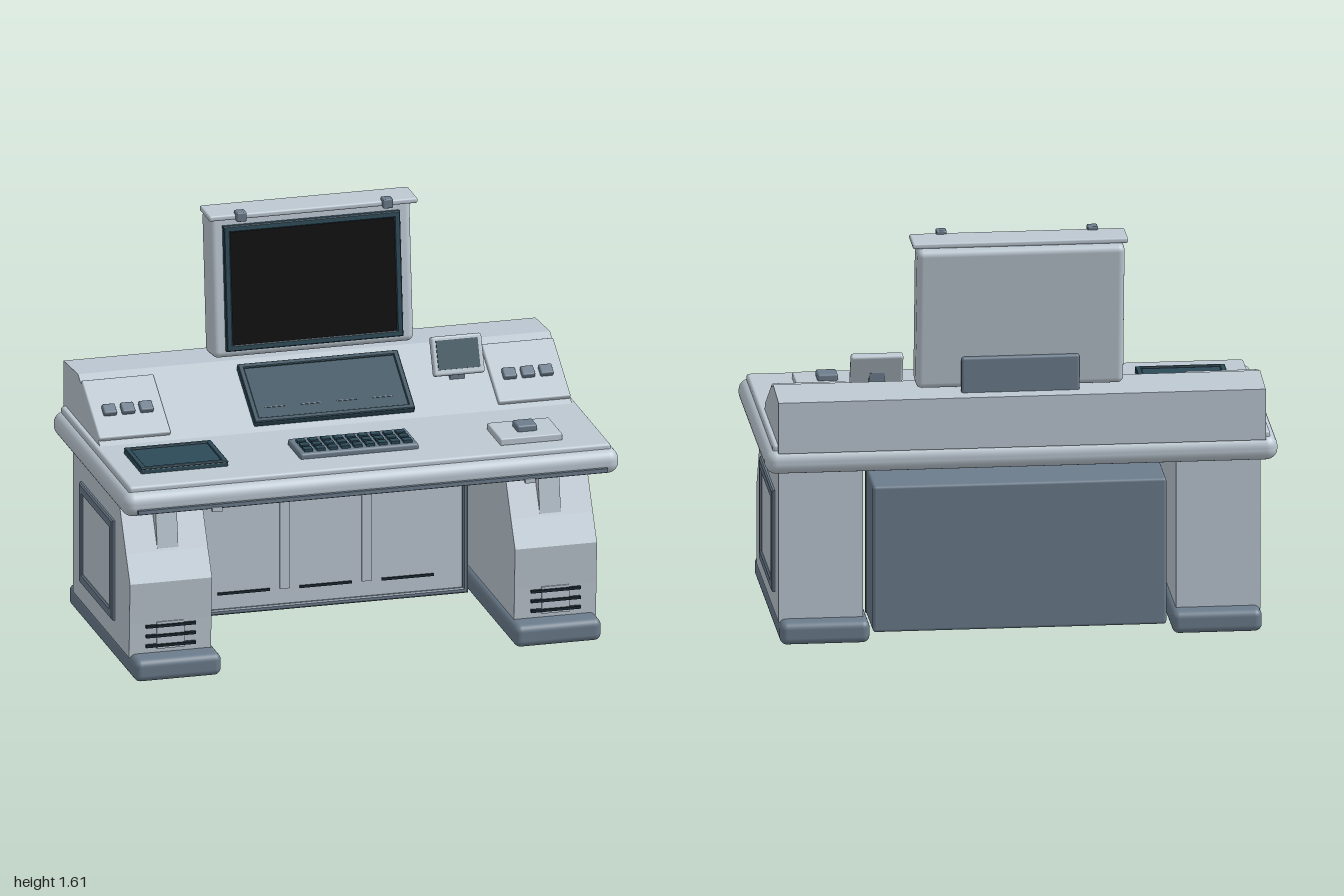
import * as THREE from 'three';
import { RoundedBoxGeometry } from 'three/addons/geometries/RoundedBoxGeometry.js';

const mat = (name, color, side = THREE.FrontSide) => {
  const m = new THREE.MeshStandardMaterial({ color, side });
  m.name = name;
  return m;
};

export function createModel() {
  const shell = mat('paleShell', 0xbcc8d2);
  const steel = mat('slateGrey', 0x6b7c8c);
  const teal = mat('darkTeal', 0x2c4a58);
  const black = mat('screenBlack', 0x0b0b0b);
  const dark = mat('ventDark', 0x1a2830);

  const root = new THREE.Group();
  root.name = 'controlDesk';

  const add = (parent, name, geo, material, x = 0, y = 0, z = 0) => {
    const mesh = new THREE.Mesh(geo, material);
    mesh.name = name;
    mesh.position.set(x, y, z);
    parent.add(mesh);
    return mesh;
  };
  const box = (parent, name, m, w, h, d, x, y, z) =>
    add(parent, name, new THREE.BoxGeometry(w, h, d), m, x, y, z);
  const round = (parent, name, m, w, h, d, r, x, y, z) =>
    add(parent, name, new RoundedBoxGeometry(w, h, d, 4, r), m, x, y, z);
  const group = (parent, name, x, y, z, rx = 0, ry = 0) => {
    const g = new THREE.Group();
    g.name = name;
    g.position.set(x, y, z);
    g.rotation.set(rx, ry, 0);
    parent.add(g);
    return g;
  };

  // Profile given as [z, y] pairs, extruded across x and centred on x
  const profile = (points, width) => {
    const shape = new THREE.Shape(points.map(([z, y]) => new THREE.Vector2(-z, y)));
    const geo = new THREE.ExtrudeGeometry(shape, { depth: width, bevelEnabled: false });
    return geo.translate(0, 0, -width / 2).rotateY(Math.PI / 2);
  };

  // Rectangular frame lying in xy, back on z = 0
  const frame = (w, h, border, depth) => {
    const rect = (C, a, b) => new C([[-a, -b], [a, -b], [a, b], [-a, b]].map(p => new THREE.Vector2(...p)));
    const bevel = Math.min(border * 0.25, depth * 0.45);
    const shape = rect(THREE.Shape, w / 2 - bevel, h / 2 - bevel);
    shape.holes.push(rect(THREE.Path, w / 2 - border + bevel, h / 2 - border + bevel));
    return new THREE.ExtrudeGeometry(shape, {
      depth: depth - bevel, bevelSize: bevel, bevelThickness: bevel, bevelSegments: 1,
    });
  };

  // Desk top
  const desk = group(root, 'deskTop', 0, 0, 0);
  round(desk, 'deskSlab', shell, 2, 0.1, 1.06, 0.045, 0, 0.75, -0.01);
  round(desk, 'deskSurface', shell, 1.94, 0.05, 1.0, 0.012, 0, 0.795, -0.015);
  box(desk, 'frontTrim', steel, 1.89, 0.016, 0.02, 0, 0.727, 0.522);
  for (const x of [-0.63, 0.63]) box(desk, 'trimClip', shell, 0.04, 0.018, 0.02, x, 0.716, 0.53);

  // Pedestals with feet, struts, vents and framed side panels
  for (const s of [-1, 1]) {
    const ped = group(root, s < 0 ? 'rightPedestal' : 'leftPedestal', s * 0.775, 0, 0);
    add(ped, 'pedestalBody', profile([
      [-0.44, 0.08], [0.375, 0.08], [0.38, 0.22], [0.39, 0.385], [0.33, 0.49],
      [0.21, 0.71], [-0.39, 0.71], [-0.44, 0.685],
    ], 0.33), shell);
    add(ped, 'strut', profile([[0.325, 0.5], [0.29, 0.71], [0.2, 0.71], [0.3, 0.5]], 0.085), shell, -s * 0.005);
    round(ped, 'foot', steel, 0.35, 0.09, 0.975, 0.028, -s * 0.01, 0.049, -0.022);
    box(ped, 'ventPlate', shell, 0.11, 0.11, 0.02, 0, 0.165, 0.375);
    for (let i = 0; i < 3; i++) box(ped, 'ventSlat', dark, 0.2, 0.01, 0.025, 0, 0.125 + i * 0.04, 0.382);
    const side = group(ped, 'sidePanel', s * 0.165, 0.37, -0.07, 0, s * Math.PI / 2);
    add(side, 'sideFrame', frame(0.48, 0.41, 0.042, 0.014), steel);
    box(side, 'sideInset', shell, 0.4, 0.33, 0.008, 0, 0, 0.002);
  }

  // Cabinet between the pedestals
  const cabinet = group(root, 'cabinet', 0, 0.325, 0);
  round(cabinet, 'cabinetBody', steel, 1.145, 0.59, 0.28, 0.012, 0, 0, -0.31);
  add(cabinet, 'cabinetFrame', frame(1.145, 0.59, 0.022, 0.022), steel, 0, 0, -0.172);
  box(cabinet, 'doorPanel', shell, 1.105, 0.55, 0.008, 0, 0, -0.167);
  for (const x of [-0.165, 0.165]) box(cabinet, 'doorDivider', shell, 0.04, 0.46, 0.012, x, 0.02, -0.16);
  for (const x of [-0.33, 0, 0.33]) box(cabinet, 'doorSlot', dark, 0.21, 0.01, 0.008, x, -0.21, -0.161);

  // Sloped console
  add(root, 'console', profile([[0, 0.815], [-0.33, 1.01], [-0.54, 0.995], [-0.54, 0.79], [0, 0.79]], 1.9), shell);
  const slope = group(root, 'slopedControls', 0, 0.815, 0, Math.atan2(0.195, 0.33));
  for (const s of [-1, 1]) {
    const panel = group(slope, 'switchPanel', s * 0.805, 0, -0.187);
    round(panel, 'switchPlate', shell, 0.29, 0.03, 0.3, 0.007, 0, 0.003, 0);
    for (let i = -1; i <= 1; i++)
      round(panel, 'switch', steel, 0.052, 0.025, 0.048, 0.006, i * 0.074, 0.025, 0.018);
  }
  round(slope, 'consoleScreen', teal, 0.645, 0.03, 0.3, 0.006, 0, 0.005, -0.19);
  const rim = add(slope, 'consoleScreenRim', frame(0.645, 0.3, 0.022, 0.008), teal, 0, 0.019, -0.19);
  rim.rotation.x = -Math.PI / 2;
  for (let i = 0; i < 4; i++)
    box(slope, 'screenMark', steel, 0.08, 0.002, 0.004, -0.225 + i * 0.145, 0.021, -0.115);

  // Main monitor, leaning back
  const monitor = group(root, 'monitor', 0, 1.3, -0.42, -0.1);
  round(monitor, 'monitorBody', shell, 0.81, 0.575, 0.125, 0.025, 0, 0, 0);
  box(monitor, 'monitorBezel', teal, 0.71, 0.5, 0.024, 0, -0.008, 0.068);
  add(monitor, 'bezelRim', frame(0.71, 0.5, 0.024, 0.008), teal, 0, -0.008, 0.079);
  box(monitor, 'monitorScreen', black, 0.67, 0.46, 0.006, 0, -0.008, 0.08);
  round(root, 'monitorBracket', steel, 0.46, 0.15, 0.03, 0.01, 0, 1.065, -0.469);

  // Light bar over the monitor
  round(root, 'topBar', shell, 0.84, 0.022, 0.145, 0.008, 0, 1.594, -0.407);
  for (const x of [-0.295, 0.295]) round(root, 'barLamp', steel, 0.04, 0.038, 0.045, 0.005, x, 1.599, -0.334);

  // Small auxiliary display
  const small = group(root, 'smallDisplay', 0.53, 1.007, -0.165, -0.38);
  round(small, 'smallDisplayBody', shell, 0.205, 0.155, 0.032, 0.01, 0, 0, 0);
  box(small, 'smallDisplayScreen', teal, 0.168, 0.115, 0.008, 0, 0.003, 0.016);
  box(root, 'smallDisplayStand', steel, 0.06, 0.1, 0.02, 0.53, 0.95, -0.17);

  // Tablet
  const tablet = group(root, 'tablet', -0.707, 0.82, 0.218);
  round(tablet, 'tabletBody', teal, 0.35, 0.024, 0.255, 0.006, 0, 0.006, 0);
  const tabletRim = add(tablet, 'tabletRim', frame(0.35, 0.255, 0.022, 0.006), teal, 0, 0.017, 0);
  tabletRim.rotation.x = -Math.PI / 2;

  // Keyboard
  const keyboard = group(root, 'keyboard', -0.003, 0.82, 0.25);
  round(keyboard, 'keyboardBase', steel, 0.477, 0.03, 0.192, 0.01, 0, 0.007, 0);
  for (let row = -1; row <= 1; row++)
    for (let col = -4; col <= 4; col++)
      box(keyboard, 'key', teal, 0.034, 0.014, 0.035, col * 0.05, 0.026, 0.01 + row * 0.05);

  // Pointer pad
  round(root, 'pointerPad', shell, 0.25, 0.03, 0.2, 0.006, 0.675, 0.832, 0.295);
  round(root, 'pointerButton', steel, 0.08, 0.03, 0.08, 0.008, 0.675, 0.857, 0.296);

  return root;
}
